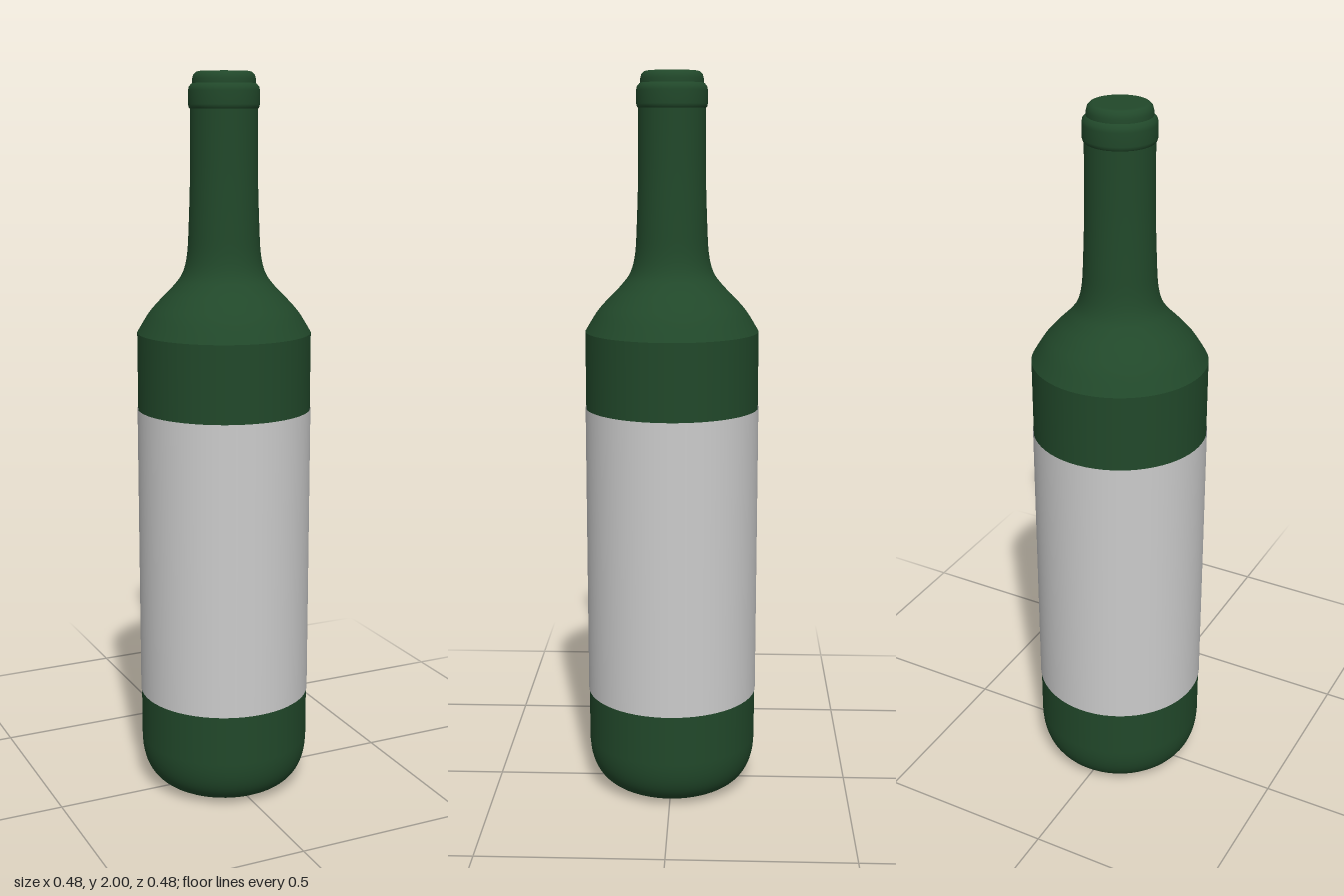
import * as THREE from 'three';

const SEGMENTS = 64;
const glass = new THREE.MeshStandardMaterial({ color: 0x21482a });
const paper = new THREE.MeshStandardMaterial({ color: 0xcccccc, side: THREE.DoubleSide });

const vec = ([r, y]) => new THREE.Vector2(r, y);

// Revolves a profile that runs from bottom to top
function turned(name, points, material = glass) {
  const mesh = new THREE.Mesh(new THREE.LatheGeometry(points, SEGMENTS), material);
  mesh.name = name;
  return mesh;
}

const smooth = (pairs, n) => new THREE.SplineCurve(pairs.map(vec)).getPoints(n);

export function createModel() {
  const bottle = new THREE.Group();
  bottle.name = 'bottle';

  // Slightly hollowed base, rounded heel and straight wall
  const heel = new THREE.CubicBezierCurve(
    vec([0.12, 0]), vec([0.19, 0]), vec([0.237, 0.04]), vec([0.237, 0.14]));
  bottle.add(turned('base', smooth([[0, 0.02], [0.05, 0.017], [0.09, 0.006], [0.12, 0]], 10)));
  bottle.add(turned('body', [...heel.getPoints(16), vec([0.237, 1.31])]));

  // Shoulder sweeping into the neck, with a crease where it meets the wall
  bottle.add(turned('shoulderAndNeck', smooth([
    [0.237, 1.31], [0.205, 1.362], [0.172, 1.4], [0.138, 1.435], [0.113, 1.47],
    [0.1, 1.52], [0.095, 1.6], [0.091, 1.72], [0.09, 1.82], [0.09, 1.91],
  ], 48)));

  // Lip ring and the narrower rounded mouth above it
  bottle.add(turned('lip', [
    [0.089, 1.903], [0.093, 1.907], [0.095, 1.915], [0.095, 1.95],
    [0.093, 1.96], [0.087, 1.967], [0.083, 1.97],
  ].map(vec)));
  bottle.add(turned('mouth', [
    [0.084, 1.965], [0.084, 1.98], [0.081, 1.991], [0.074, 1.998], [0.066, 2], [0, 2],
  ].map(vec)));

  // Paper label wrapped all the way round
  bottle.add(turned('label', [vec([0.239, 0.28]), vec([0.239, 1.1])], paper));

  return bottle;
}
